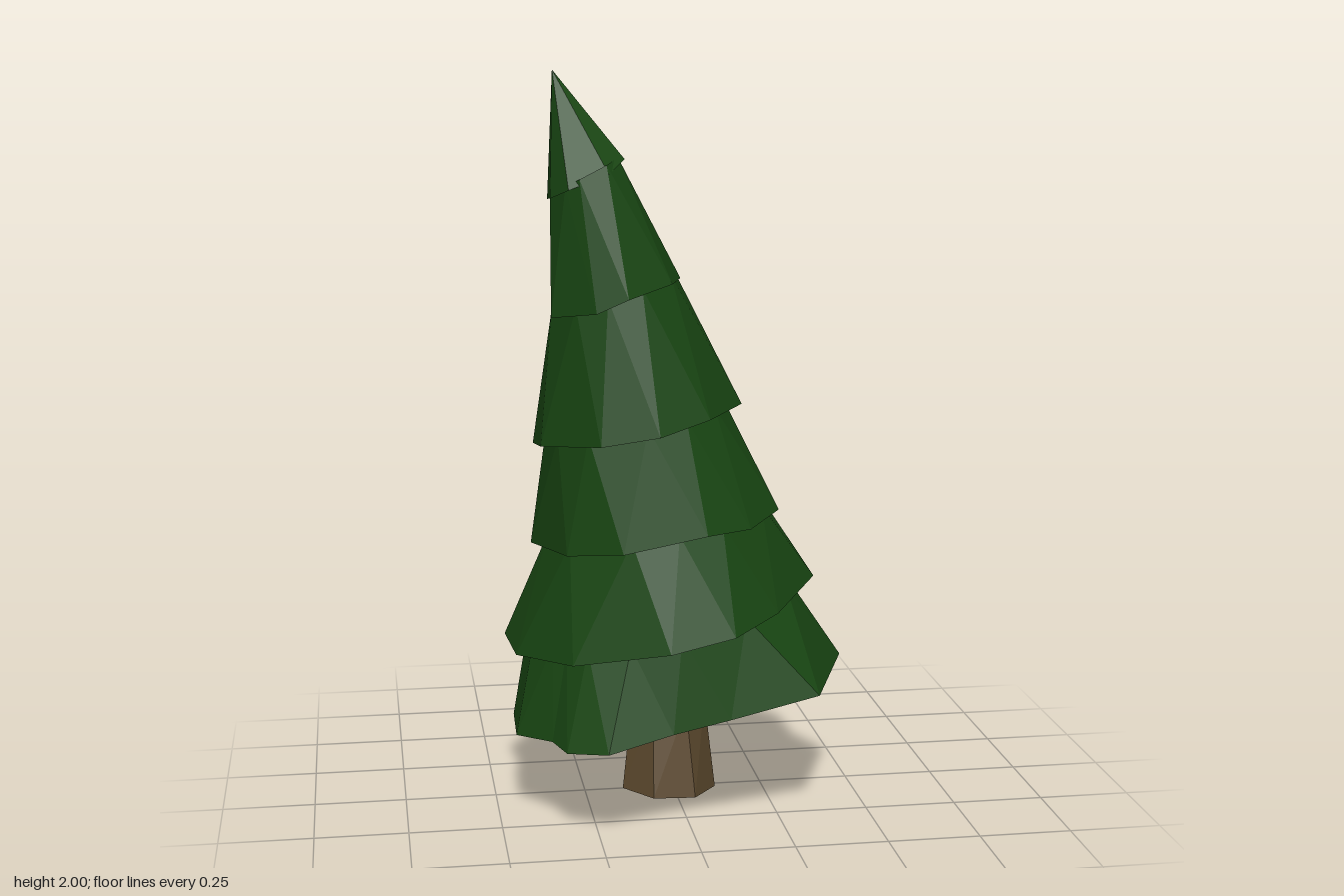
import * as THREE from 'three';

const leafMat = new THREE.MeshStandardMaterial({ color: 0x184512, flatShading: true, roughness: 1 });
const barkMat = new THREE.MeshStandardMaterial({ color: 0x5a472c, flatShading: true, roughness: 1 });

let seed = 11;
const rand = () => (seed = (seed * 16807) % 2147483647) / 2147483647;
const jitter = (amount) => (rand() - 0.5) * 2 * amount;

// Joins a sequence of equally long rings (from bottom centre outwards and up) into one faceted skin.
function skin(name, rings, material, capTop = false) {
  const pos = [];
  const tri = (a, b, c) => {
    const area = b.clone().sub(a).cross(c.clone().sub(a)).length();
    if (area > 1e-7) pos.push(...a, ...b, ...c);
  };
  for (let r = 0; r < rings.length - 1; r++) {
    const lo = rings[r], hi = rings[r + 1], n = lo.length;
    for (let i = 0; i < n; i++) {
      const j = (i + 1) % n;
      tri(lo[i], hi[i], lo[j]);
      tri(lo[j], hi[i], hi[j]);
    }
  }
  if (capTop) {
    const top = rings.at(-1);
    for (let i = 1; i < top.length - 1; i++) tri(top[0], top[i + 1], top[i]);
  }
  const geo = new THREE.BufferGeometry();
  geo.setAttribute('position', new THREE.Float32BufferAttribute(pos, 3));
  geo.computeVertexNormals();
  const mesh = new THREE.Mesh(geo, material);
  mesh.name = name;
  return mesh;
}

// Tilted elliptical tiers: centre, radii, and rise of the rim along x and z.
const tiers = [
  { c: [0, 0.325, 0], r: [0.455, 0.49], tilt: [0.165, -0.02] },
  { c: [-0.045, 0.535, 0.045], r: [0.41, 0.41], tilt: [0.185, -0.02] },
  { c: [-0.06, 0.775, 0.045], r: [0.345, 0.35], tilt: [0.15, 0.05] },
  { c: [-0.11, 1.06, 0.055], r: [0.28, 0.28], tilt: [0.18, 0.04] },
  { c: [-0.17, 1.405, 0.06], r: [0.185, 0.195], tilt: [0.3, 0.02] },
  { c: [-0.245, 1.71, 0.055], r: [0.105, 0.13], tilt: [0.5, 0.05] },
];
const apex = new THREE.Vector3(-0.32, 2, -0.02);

// Uneven outline of the lowest skirt, as x, z.
const skirt = [
  [0.035, -0.49], [0.1, -0.45], [0.27, -0.235], [0.335, -0.17], [0.42, 0.01], [0.455, 0.095],
  [0.335, 0.385], [0.09, 0.425], [-0.065, 0.445], [-0.24, 0.485], [-0.34, 0.41],
  [-0.37, 0.325], [-0.455, 0.195], [-0.45, 0.035], [-0.415, -0.17], [-0.275, -0.32],
];

// Point on a tier's tilted plane.
function onTier(t, dx, dz, lift = 0) {
  return new THREE.Vector3(t.c[0] + dx, t.c[1] + t.tilt[0] * dx + t.tilt[1] * dz + lift, t.c[2] + dz);
}
const ellipsePoint = (t, a, s, lift) => onTier(t, t.r[0] * s * Math.cos(a), t.r[1] * s * Math.sin(a), lift);

function foliageTier(k) {
  const t = tiers[k], next = tiers[k + 1];
  const n = 13 - k;
  const angles = k === 0
    ? skirt.map(([x, z]) => Math.atan2(z / t.r[1], x / t.r[0]))
    : Array.from({ length: n }, (_, i) => ((i + jitter(0.25)) / n) * Math.PI * 2 + k * 0.7);

  const rim = k === 0
    ? skirt.map(([x, z]) => onTier(t, x, z, jitter(0.008)))
    : angles.map((a) => ellipsePoint(t, a, 1 + jitter(0.045), jitter(0.012)));

  // Underside runs inwards, rising a little
  const inner = k === 0 ? 0.2 : 0.78;
  const under = rim.map((p) => onTier(t, (p.x - t.c[0]) * inner, (p.z - t.c[2]) * inner, k === 0 ? 0.07 : 0.025));

  // Upper edge is tucked beneath the next tier, turned part of a step for slanted facets
  const upper = angles.map((a) => next
    ? ellipsePoint(next, a + Math.PI / angles.length, 0.87 + jitter(0.025), 0.02)
    : apex.clone());
  return skin(`foliageTier${k + 1}`, [under, rim, upper], leafMat);
}

// Pinched, slightly crooked trunk with a closed bottom.
function trunk() {
  const levels = [
    // y, centre x, centre z, radius x, radius z, turn
    [0.005, -0.015, -0.005, 0, 0, 0],
    [0.005, -0.015, -0.005, 0.135, 0.132, 0.2],
    [0.25, -0.01, -0.028, 0.105, 0.095, 0.3],
    [0.42, -0.015, 0, 0.125, 0.12, 0.45],
  ];
  const sides = 7;
  const rings = levels.map(([y, cx, cz, rx, rz, turn]) => Array.from({ length: sides }, (_, i) => {
    const a = (i / sides) * Math.PI * 2 + turn;
    const x = cx + rx * Math.cos(a);
    return new THREE.Vector3(x, y < 0.1 ? Math.max(0, 0.005 - 0.04 * x) : y, cz + rz * Math.sin(a));
  }));
  return skin('trunk', rings, barkMat, true);
}

export function createModel() {
  const tree = new THREE.Group();
  tree.name = 'pineTree';
  tree.add(trunk());
  const foliage = new THREE.Group();
  foliage.name = 'foliage';
  tiers.forEach((_, k) => foliage.add(foliageTier(k)));
  tree.add(foliage);
  return tree;
}
